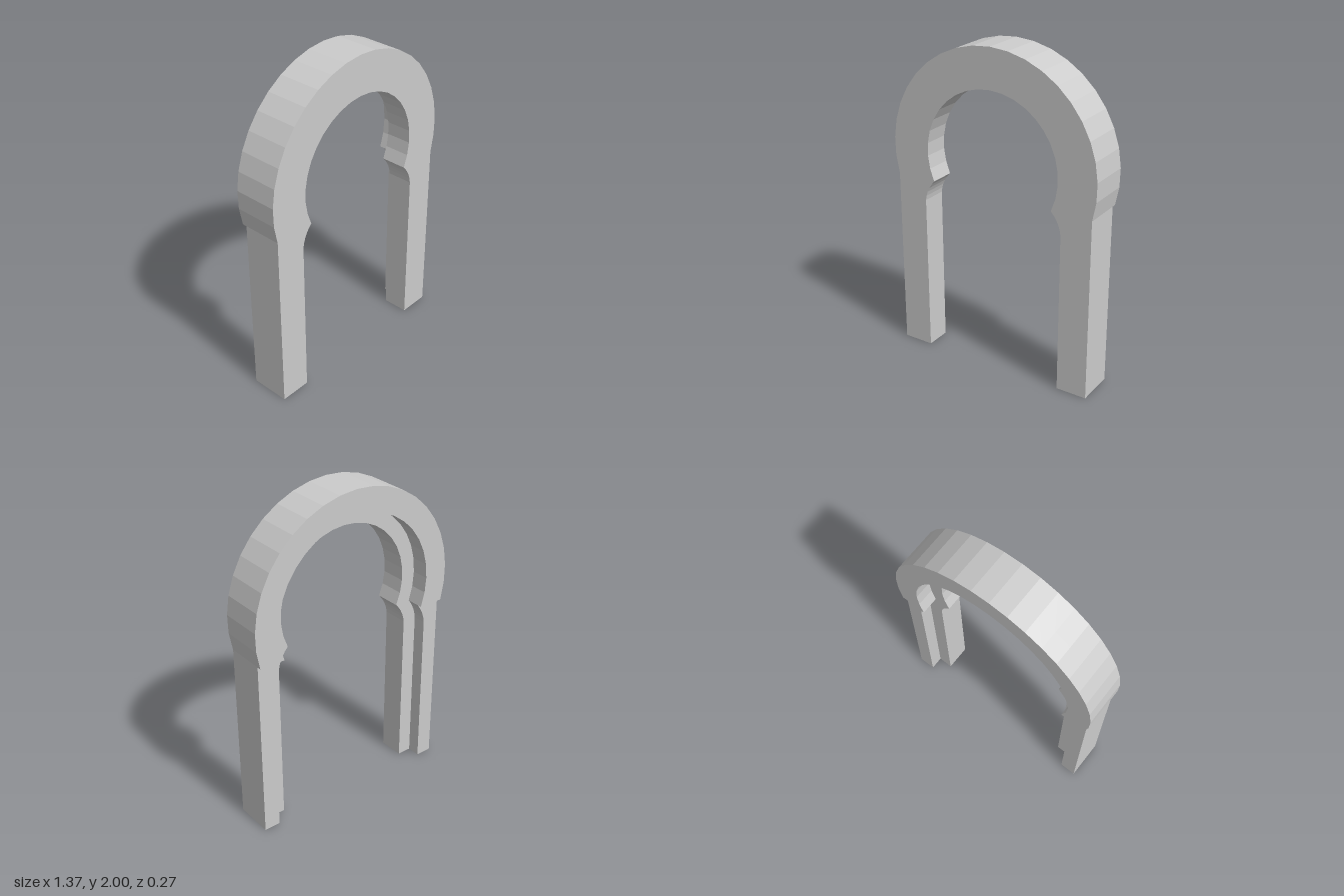
import * as THREE from 'three';

const CENTER_Y = 1.32;   // centre of the horseshoe arc
const SPRING_Y = 1.135;  // height where the arc meets the legs
const OUTER_R = 0.684, REBATE_R = 0.534, INNER_R = 0.441;
const OUTER_X = 0.659, REBATE_X = 0.557, INNER_X = 0.466;
const FRONT_Z = 0.135, STEP_Z = -0.025, LEG_BACK_Z = -0.107, ARCH_BACK_Z = -0.135;

// Arc points from the right springing (+x) over the top to the left one
function arc(radius, segments = 22) {
  const start = -Math.asin((CENTER_Y - SPRING_Y) / radius);
  const sweep = Math.PI - 2 * start;
  return Array.from({ length: segments + 1 }, (_, i) => {
    const a = start + (sweep * i) / segments;
    return new THREE.Vector2(radius * Math.cos(a), CENTER_Y + radius * Math.sin(a));
  });
}

// Leg edge from the floor up to the cusp under the arc
function legEdge(x, radius) {
  const cusp = arc(radius)[0];
  const curve = new THREE.QuadraticBezierCurve(
    new THREE.Vector2(x, 1.0),
    new THREE.Vector2(x - 0.008, 1.075),
    cusp
  );
  return [new THREE.Vector2(x, 0), ...curve.getPoints(5)];
}

const mirrored = (points) => points.map((p) => new THREE.Vector2(-p.x, p.y));

function slab(name, points, zBack, zFront, material) {
  const geometry = new THREE.ExtrudeGeometry(new THREE.Shape(points), {
    depth: zFront - zBack,
    bevelEnabled: false,
  });
  geometry.translate(0, 0, zBack);
  const mesh = new THREE.Mesh(geometry, material);
  mesh.name = name;
  return mesh;
}

export function createModel() {
  const group = new THREE.Group();
  group.name = 'horseshoeArchFrame';
  const material = new THREE.MeshStandardMaterial({ color: 0xcccccc, flatShading: true });

  // Front layer: legs and arch in one outline, with the narrow opening
  const innerLeg = legEdge(INNER_X, INNER_R);
  const frontOutline = [
    new THREE.Vector2(OUTER_X, 0),
    ...arc(OUTER_R),
    new THREE.Vector2(-OUTER_X, 0),
    ...mirrored(innerLeg),
    ...arc(INNER_R).reverse().slice(1, -1),
    ...innerLeg.slice().reverse(),
  ];
  group.add(slab('frontFrame', frontOutline, STEP_Z, FRONT_Z, material));

  // Back layer of the arch: a thicker ring around the wider rebate
  const archOutline = [...arc(OUTER_R), ...arc(REBATE_R).reverse()];
  group.add(slab('backArch', archOutline, ARCH_BACK_Z, STEP_Z, material));

  // Back layer of the legs, set in a little from the arch
  const legOutline = [
    new THREE.Vector2(OUTER_X, 0),
    arc(OUTER_R)[0],
    ...legEdge(REBATE_X, REBATE_R).reverse(),
  ];
  group.add(slab('leftBackLeg', legOutline, LEG_BACK_Z, STEP_Z, material));
  group.add(slab('rightBackLeg', mirrored(legOutline), LEG_BACK_Z, STEP_Z, material));

  return group;
}
